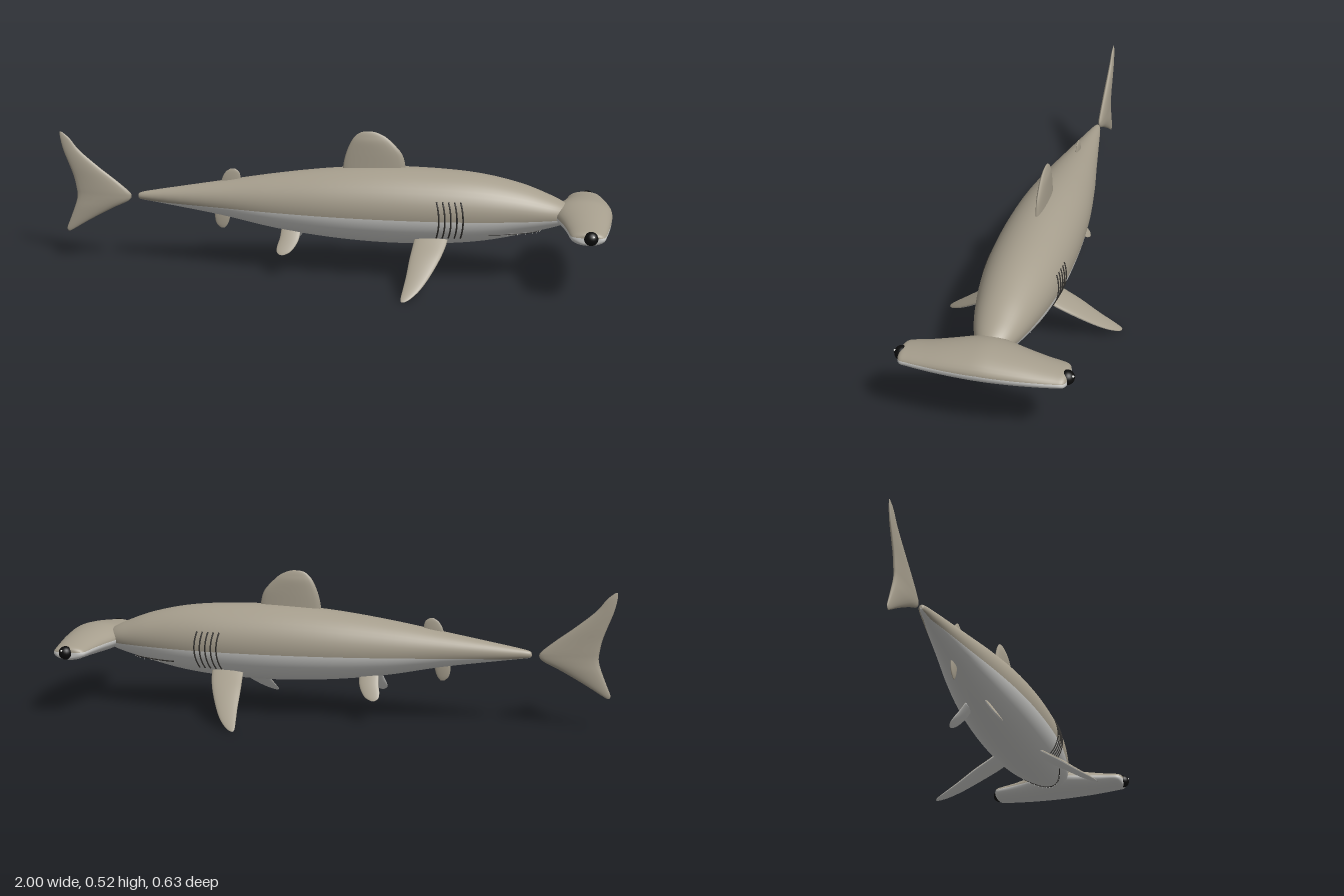
import * as THREE from 'three';

const V = (x, y, z) => new THREE.Vector3(x, y, z);
const mat = (name, color, side = THREE.FrontSide) => {
  const m = new THREE.MeshStandardMaterial({ color, side });
  m.name = name;
  return m;
};

// Smoothly resample a table of rows (each row a short list of numbers)
function smooth(rows, steps) {
  const out = [];
  const at = i => rows[Math.max(0, Math.min(rows.length - 1, i))];
  for (let i = 0; i < rows.length - 1; i++) {
    for (let s = 0; s < steps; s++) {
      const t = s / steps;
      out.push(rows[i].map((p1, k) => {
        const p0 = at(i - 1)[k], p2 = at(i + 1)[k], p3 = at(i + 2)[k];
        return p1 + 0.5 * t * (p2 - p0 + t * (2 * p0 - 5 * p1 + 4 * p2 - p3 + t * (3 * (p1 - p2) + p3 - p0)));
      }));
    }
  }
  out.push(rows[rows.length - 1]);
  return out;
}

// Skin over elliptical rings {c, a, b, split}. Group 0 is the side towards +b,
// group 1 the side towards -b; split is the sine of the dividing angle.
function loft(rings, half = 16) {
  const n = half * 2, pos = [], sides = [[], []];
  for (const { c, a, b, split = 0 } of rings) {
    const p0 = Math.asin(THREE.MathUtils.clamp(split, -0.85, 0.85));
    for (let j = 0; j < n; j++) {
      const th = j < half
        ? p0 + (Math.PI - 2 * p0) * j / half
        : Math.PI - p0 + (Math.PI + 2 * p0) * (j - half) / half;
      const p = c.clone().addScaledVector(a, Math.cos(th)).addScaledVector(b, Math.sin(th));
      pos.push(p.x, p.y, p.z);
    }
  }
  const last = rings.length - 1, mid = rings[last >> 1];
  const dir = rings[last].c.clone().sub(rings[0].c);
  const flip = mid.a.clone().cross(mid.b).dot(dir) < 0;
  const tri = (g, p, q, r) => sides[g].push(...(flip ? [p, r, q] : [p, q, r]));
  for (let i = 0; i < last; i++) {
    for (let j = 0; j < n; j++) {
      const k = (j + 1) % n, g = j < half ? 0 : 1;
      const A = i * n + j, B = i * n + k, C = A + n, D = B + n;
      tri(g, A, B, D);
      tri(g, A, D, C);
    }
  }
  // end caps
  for (const i of [0, last]) {
    const centre = pos.length / 3;
    pos.push(...rings[i].c.toArray());
    for (let j = 0; j < n; j++) {
      const A = i * n + j, B = i * n + (j + 1) % n, g = j < half ? 0 : 1;
      if (i === 0) tri(g, centre, B, A); else tri(g, centre, A, B);
    }
  }
  const geo = new THREE.BufferGeometry();
  geo.setAttribute('position', new THREE.Float32BufferAttribute(pos, 3));
  geo.setIndex([...sides[0], ...sides[1]]);
  geo.addGroup(0, sides[0].length, 0);
  geo.addGroup(sides[0].length, sides[1].length, 1);
  geo.computeVertexNormals();
  return geo;
}

// Body stations: x, top, bottom, half width
const BODY = smooth([
  [-0.712, 0.262, 0.252, 0.004], [-0.70, 0.272, 0.245, 0.012], [-0.63, 0.286, 0.235, 0.026],
  [-0.4, 0.326, 0.2, 0.066], [-0.2, 0.36, 0.161, 0.101], [0, 0.386, 0.136, 0.127],
  [0.2, 0.399, 0.125, 0.138], [0.4, 0.396, 0.13, 0.136], [0.55, 0.382, 0.146, 0.122],
  [0.68, 0.353, 0.174, 0.099], [0.77, 0.32, 0.197, 0.075], [0.82, 0.297, 0.212, 0.054],
  [0.842, 0.28, 0.225, 0.034], [0.852, 0.26, 0.245, 0.008],
], 5);

function bodyAt(x) {
  let i = 1;
  while (i < BODY.length - 1 && BODY[i][0] < x) i++;
  const p = BODY[i - 1], q = BODY[i], t = (x - p[0]) / (q[0] - p[0]);
  const [top, bottom, w] = [1, 2, 3].map(k => p[k] + (q[k] - p[k]) * t);
  return { c: (top + bottom) / 2, h: (top - bottom) / 2, w };
}

export function createModel() {
  const model = new THREE.Group();
  const back = mat('back skin', 0xa69e8d);
  const belly = mat('belly skin', 0xd0d0cd);
  const dark = mat('dark lines', 0x34322f);
  const black = mat('eye black', 0x0c0c0c);
  const white = mat('white', 0xf2f2ee);
  const add = (name, geo, material) => {
    const m = new THREE.Mesh(geo, material);
    m.name = name;
    model.add(m);
    return m;
  };

  // Body, with the pale belly below a level line
  add('body', loft(BODY.map(([x, top, bottom, w]) => {
    const c = (top + bottom) / 2, h = (top - bottom) / 2;
    return { c: V(x, c, 0), a: V(0, 0, w), b: V(0, h, 0), split: (0.241 - c) / h };
  }), 24), [back, belly]);

  // Wide head: z, rear x, front x, top, bottom
  const wing = [
    [0, 0.795, 0.997, 0.302, 0.203], [0.05, 0.801, 0.995, 0.298, 0.204], [0.12, 0.822, 0.988, 0.288, 0.207],
    [0.19, 0.838, 0.978, 0.276, 0.211], [0.235, 0.845, 0.97, 0.269, 0.214], [0.258, 0.852, 0.965, 0.265, 0.216],
    [0.268, 0.868, 0.953, 0.258, 0.222], [0.27, 0.885, 0.94, 0.25, 0.23],
  ];
  const mirrored = wing.slice(1).reverse().map(([z, ...r]) => [-z, ...r]);
  add('hammerHead', loft(smooth([...mirrored, ...wing], 4).map(([z, x0, x1, top, bottom]) => {
    const c = (top + bottom) / 2, h = (top - bottom) / 2;
    const line = 0.255 - 0.035 * Math.abs(z);
    return { c: V((x0 + x1) / 2, c, z), a: V((x1 - x0) / 2, 0, 0), b: V(0, h, 0), split: (line - c) / h };
  }), 16), [back, belly]);

  // Upright fins: y, rear x, front x, half thickness
  const uprightFin = (name, rows) => add(name, loft(smooth(rows, 5).map(([y, x0, x1, t]) => (
    { c: V((x0 + x1) / 2, y, 0), a: V((x1 - x0) / 2, 0, 0), b: V(0, 0, t) })), 10), [back, back]);
  uprightFin('dorsalFin', [
    [0.37, 0.042, 0.268, 0.013], [0.41, 0.046, 0.266, 0.013], [0.45, 0.056, 0.253, 0.013],
    [0.487, 0.072, 0.22, 0.012], [0.508, 0.087, 0.195, 0.008], [0.521, 0.105, 0.168, 0.004], [0.526, 0.125, 0.147, 0.001],
  ]);
  uprightFin('secondDorsalFin', [
    [0.30, -0.405, -0.328, 0.006], [0.335, -0.398, -0.329, 0.006], [0.36, -0.384, -0.334, 0.004], [0.373, -0.365, -0.35, 0.001],
  ]);
  uprightFin('analFin', [
    [0.148, -0.405, -0.392, 0.001], [0.163, -0.421, -0.38, 0.004], [0.19, -0.427, -0.371, 0.006], [0.225, -0.425, -0.368, 0.006],
  ]);
  uprightFin('tailFin', [
    [0.113, -0.984, -0.976, 0.001], [0.125, -0.988, -0.955, 0.004], [0.16, -0.974, -0.897, 0.008],
    [0.205, -0.956, -0.815, 0.012], [0.235, -0.946, -0.753, 0.013], [0.255, -0.943, -0.738, 0.013],
    [0.275, -0.945, -0.75, 0.013], [0.315, -0.952, -0.798, 0.012], [0.36, -0.967, -0.857, 0.011],
    [0.42, -0.989, -0.928, 0.008], [0.465, -0.999, -0.964, 0.005], [0.488, -1, -0.992, 0.001],
  ]);

  // Paired fins: y, z, rear x, front x, half thickness; pale underneath
  const pairedFin = (name, rows, ny, nz, side) => add(name, loft(smooth(rows, 5).map(([y, z, x0, x1, t]) => (
    { c: V((x0 + x1) / 2, y, z * side), a: V((x1 - x0) / 2, 0, 0), b: V(0, ny * t, nz * t * side) })), 10), [back, belly]);
  for (const side of [1, -1]) {
    const s = side > 0 ? 'right' : 'left';
    pairedFin(s + 'PectoralFin', [
      [0.174, 0.075, 0.312, 0.43, 0.011], [0.146, 0.115, 0.307, 0.422, 0.011], [0.112, 0.165, 0.3, 0.405, 0.011],
      [0.067, 0.225, 0.294, 0.375, 0.009], [0.033, 0.272, 0.287, 0.345, 0.006],
      [0.011, 0.302, 0.283, 0.315, 0.003], [0.003, 0.312, 0.286, 0.296, 0.001],
    ], 0.816, 0.577, side);
    pairedFin(s + 'PelvicFin', [
      [0.165, 0.035, -0.175, -0.105, 0.006], [0.135, 0.056, -0.178, -0.108, 0.006], [0.11, 0.074, -0.185, -0.12, 0.005],
      [0.092, 0.088, -0.184, -0.137, 0.003], [0.083, 0.095, -0.172, -0.158, 0.001],
    ], 0.6, 0.8, side);

    // Gill slits
    for (let g = 0; g < 5; g++) {
      const pts = [];
      for (let i = 0; i <= 10; i++) {
        const u = i / 5 - 1, x = 0.388 + g * 0.021 + 0.01 * (1 - u * u), y = 0.243 + 0.069 * u;
        const { c, h, w } = bodyAt(x);
        pts.push(V(x, y, side * (w * Math.sqrt(1 - ((y - c) / h) ** 2) + 0.0005)));
      }
      add(s + 'GillSlit', new THREE.TubeGeometry(new THREE.CatmullRomCurve3(pts), 16, 0.0028, 6), dark);
    }

    // Eye with a small glint
    const eye = add(s + 'Eye', new THREE.SphereGeometry(0.024, 24, 16), black);
    eye.position.set(0.917, 0.243, side * 0.265);
    const glint = add(s + 'EyeGlint', new THREE.SphereGeometry(0.004, 10, 8), white);
    glint.position.set(0.924, 0.254, side * 0.285);
  }

  // Mouth line curving under the head, with a row of teeth
  const underside = t => {
    const x = 0.75 - 0.18 * t * t, z = 0.092 * t, { c, h, w } = bodyAt(x);
    return V(x, c - h * Math.sqrt(Math.max(0, 1 - (z / w) ** 2)) - 0.0005, z);
  };
  const lip = [];
  for (let i = -10; i <= 10; i++) lip.push(underside(i / 10));
  add('mouthLine', new THREE.TubeGeometry(new THREE.CatmullRomCurve3(lip), 40, 0.0028, 6), dark);
  for (let i = -6; i <= 6; i++) {
    const tooth = add('tooth', new THREE.ConeGeometry(0.003, 0.01, 6), white);
    tooth.position.copy(underside(i / 7.5)).y -= 0.004;
    tooth.rotation.x = Math.PI;
  }
  return model;
}
